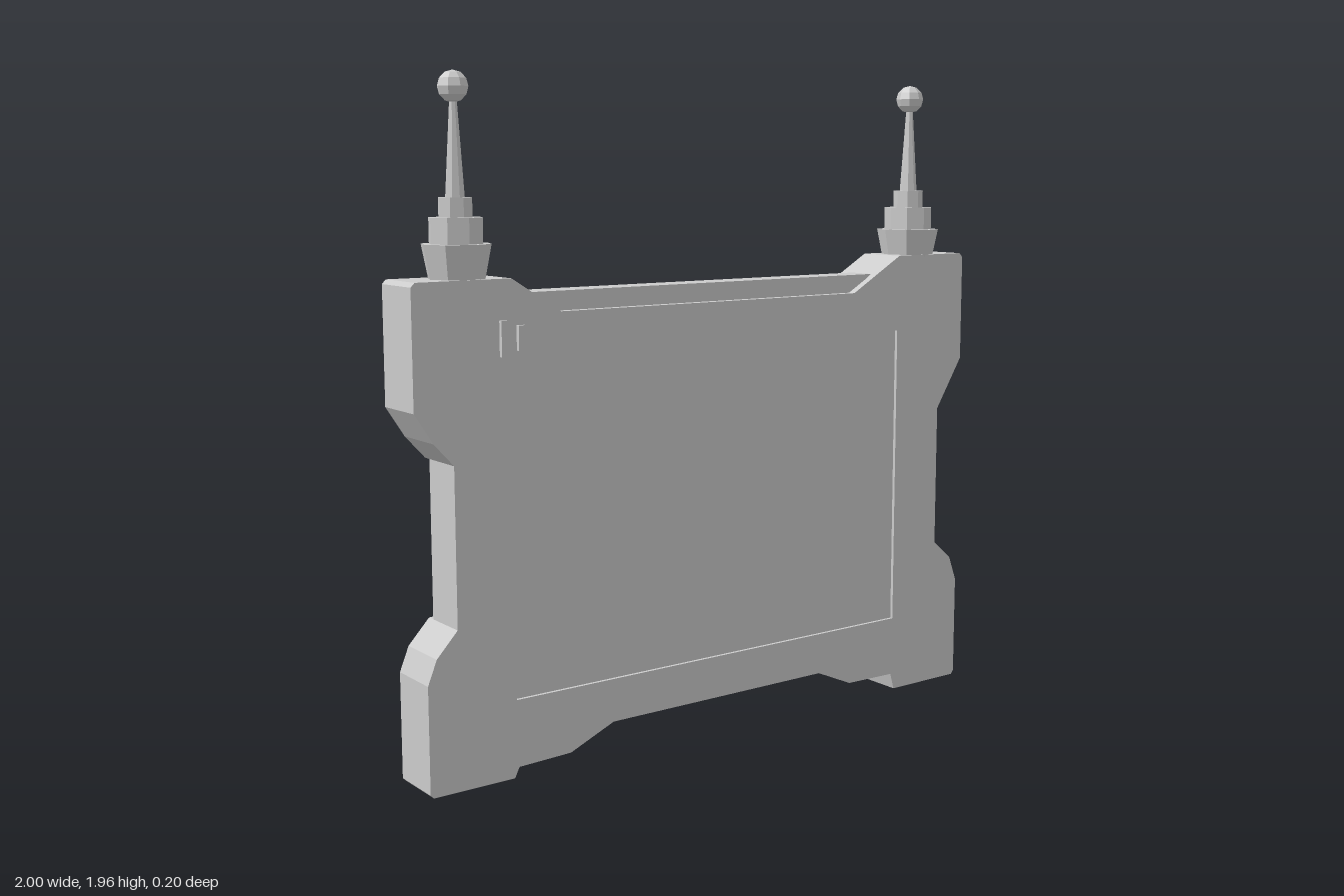
import * as THREE from 'three';

const grey = new THREE.MeshStandardMaterial({ color: 0xcccccc, flatShading: true });
const screenGrey = new THREE.MeshStandardMaterial({ color: 0xe6e6e6 });

const toShape = (pts) => new THREE.Shape(pts.map(([x, y]) => new THREE.Vector2(x, y)));

function slab(name, shape, back, front) {
  const geo = new THREE.ExtrudeGeometry(shape, { depth: front - back, bevelEnabled: false });
  const mesh = new THREE.Mesh(geo, grey);
  mesh.position.z = back;
  mesh.name = name;
  return mesh;
}

function block(name, [x0, x1], [y0, y1], [z0, z1], material = grey) {
  const mesh = new THREE.Mesh(new THREE.BoxGeometry(x1 - x0, y1 - y0, z1 - z0), material);
  mesh.position.set((x0 + x1) / 2, (y0 + y1) / 2, (z0 + z1) / 2);
  mesh.name = name;
  return mesh;
}

// Outline pieces, one per corner, running counterclockwise round the case
const lowerLeft = [[-0.885, 0.47], [-0.95, 0.4], [-0.978, 0.33], [-0.978, 0.025], [-0.968, 0.015],
  [-0.715, 0.015], [-0.7, 0.045], [-0.53, 0.05], [-0.383, 0.112]];
const lowerRight = [[0.4, 0.112], [0.53, 0.055], [0.71, 0.052], [0.725, 0], [0.99, 0],
  [1, 0.012], [1, 0.33], [0.97, 0.41], [0.9, 0.47]];
const upperRight = [[0.9, 0.92], [1, 1.08], [1, 1.412], [0.987, 1.425], [0.72, 1.425], [0.53, 1.315]];
const upperLeft = [[-0.545, 1.315], [-0.7, 1.412], [-0.988, 1.412], [-1, 1.4], [-1, 1.07],
  [-0.945, 0.985], [-0.885, 0.92]];

// Inner edges that close each corner pad on the back
const pads = {
  lowerLeftPad: [...lowerLeft, [-0.383, 0.33], [-0.44, 0.37], [-0.54, 0.42], [-0.73, 0.477]],
  lowerRightPad: [...lowerRight, [0.79, 0.485], [0.6, 0.448], [0.4, 0.345]],
  upperRightPad: [...upperRight, [0.51, 1.315], [0.51, 1.09], [0.6, 0.98], [0.72, 0.922]],
  upperLeftPad: [...upperLeft, [-0.73, 0.925], [-0.63, 0.98], [-0.55, 1.087]],
};

// Stepped eight-sided base, tapering rod and ball tip
function antenna(name, x) {
  const group = new THREE.Group();
  group.name = name;
  const tiers = [ // name, y from, y to, lower radius, upper radius
    ['antennaFoot', 1.4, 1.505, 0.077, 0.098],
    ['antennaCollar', 1.505, 1.575, 0.075, 0.075],
    ['antennaNeck', 1.575, 1.628, 0.047, 0.047],
    ['antennaRod', 1.628, 1.89, 0.027, 0.01],
  ];
  for (const [part, y0, y1, r0, r1] of tiers) {
    const mesh = new THREE.Mesh(new THREE.CylinderGeometry(r1, r0, y1 - y0, 8), grey);
    mesh.position.y = (y0 + y1) / 2;
    mesh.name = part;
    group.add(mesh);
  }
  const ball = new THREE.Mesh(new THREE.SphereGeometry(0.043, 8, 6), grey);
  ball.position.y = 1.918;
  ball.name = 'antennaBall';
  group.add(ball);
  group.position.x = x;
  return group;
}

export function createModel() {
  const model = new THREE.Group();
  model.name = 'ruggedTablet';
  const outline = [...lowerLeft, ...lowerRight, ...upperRight, ...upperLeft];

  // Case, with a front frame around the recessed screen
  model.add(slab('case', toShape(outline), -0.06, 0.068));
  const frame = toShape(outline);
  frame.holes.push(new THREE.Path([[-0.705, 0.24], [-0.705, 1.187], [0.715, 1.187], [0.715, 0.24]]
    .map(([x, y]) => new THREE.Vector2(x, y))));
  model.add(slab('frontFrame', frame, 0.068, 0.08));
  model.add(block('screen', [-0.705, 0.715], [0.24, 1.187], [0.06, 0.07], screenGrey));

  // Corner pads standing proud of the back
  for (const [name, pts] of Object.entries(pads)) model.add(slab(name, toShape(pts), -0.085, -0.06));

  // Raised rail along the top edge
  model.add(slab('topRail', toShape([[-0.545, 1.3], [0.53, 1.3], [0.62, 1.37], [-0.635, 1.37]]), -0.032, 0.055));

  // Small raised buttons
  model.add(block('longButton', [-0.74, -0.722], [1.202, 1.3], [0.07, 0.092]));
  model.add(block('shortButton', [-0.687, -0.663], [1.216, 1.285], [0.07, 0.092]));

  model.add(antenna('rightAntenna', -0.822), antenna('leftAntenna', 0.828));
  return model;
}
